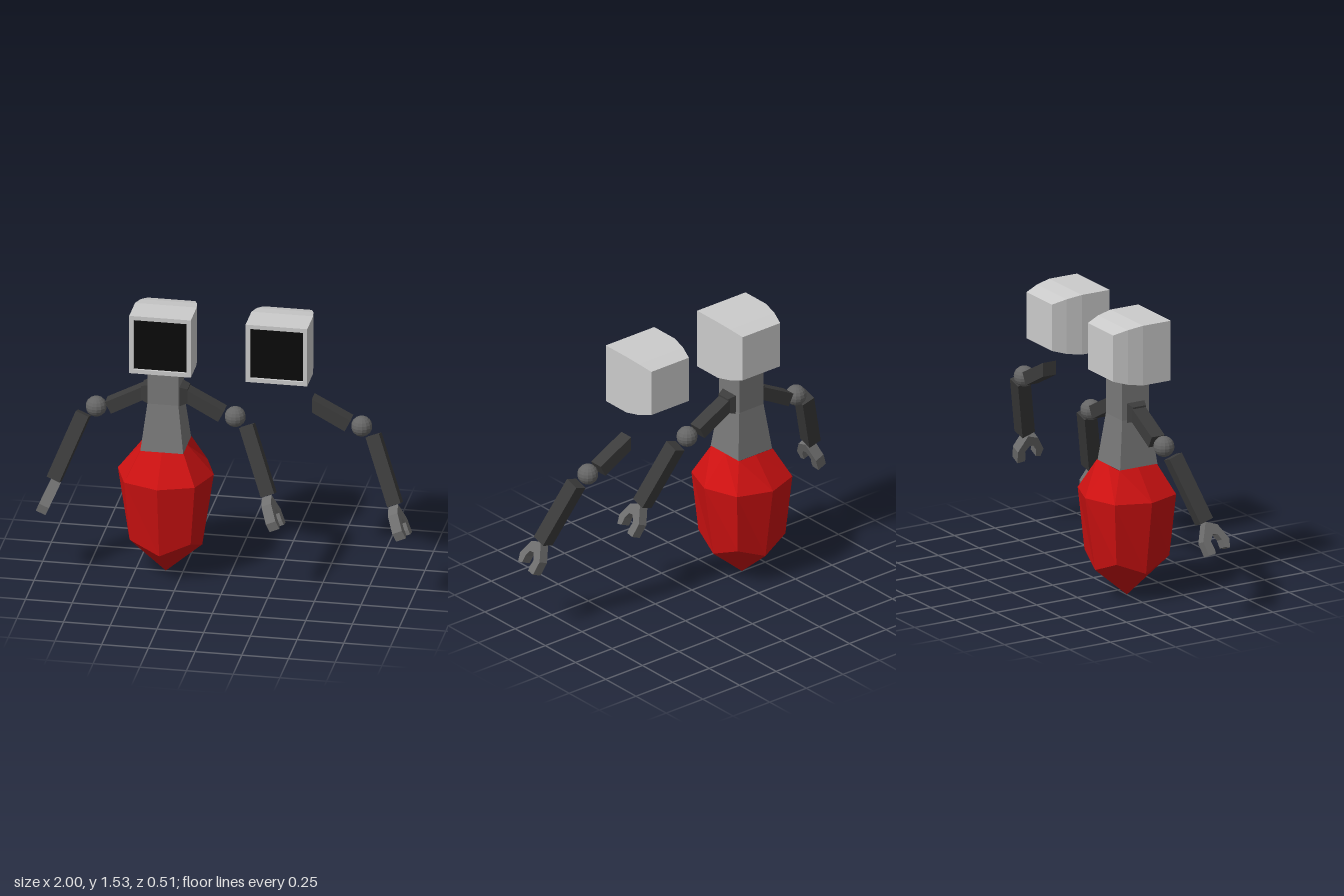
import * as THREE from 'three';

const grey = (color) => new THREE.MeshStandardMaterial({ color, flatShading: true });
const mats = {
  shell: grey(0xcccccc), neck: grey(0x787878), limb: grey(0x3c3c3c),
  joint: grey(0x666666), claw: grey(0x707070), red: grey(0xcc1111), screen: grey(0x0a0a0a),
};

function add(group, name, geometry, material) {
  const flat = geometry.index ? geometry.toNonIndexed() : geometry;
  flat.computeVertexNormals();
  const mesh = new THREE.Mesh(flat, material);
  mesh.name = name;
  group.add(mesh);
  return mesh;
}

// Square-section solid along y from [halfWidth, height] pairs
const squareLoft = (pairs) => new THREE.LatheGeometry(
  pairs.map(([h, y]) => new THREE.Vector2(h * Math.SQRT2, y)), 4, Math.PI / 4);

const shapeOf = (pts) => new THREE.Shape(pts.map(([x, y]) => new THREE.Vector2(x, y)));

// Eight-sided body: corner columns differ from the side columns
function bodyGeometry() {
  const side = [[0, 0.005], [0.195, 0.172], [0.257, 0.58], [0.115, 0.74]];
  const corner = [[0, 0.005], [0.23, 0.24], [0.267, 0.58], [0.163, 0.74]];
  const geo = new THREE.LatheGeometry(side.map(([r, y]) => new THREE.Vector2(r, y)), 8);
  const pos = geo.attributes.position;
  for (let i = 0; i < pos.count; i++) {
    const column = Math.floor(i / 4), a = column * Math.PI / 4;
    const [r, y] = (column % 2 ? corner : side)[i % 4];
    pos.setXYZ(i, r * Math.sin(a), y, r * Math.cos(a));
  }
  return geo;
}

// Monitor head: tapered back, thin frame, recessed screen
function createHead(x) {
  const head = new THREE.Group();
  head.name = 'head';
  const shell = squareLoft([[0, -0.162], [0.128, -0.162], [0.151, -0.085], [0.165, 0],
    [0.165, 0.17], [0.142, 0.17], [0.142, 0.15]]).rotateX(Math.PI / 2);
  add(head, 'headShell', shell, mats.shell);
  add(head, 'screen', new THREE.PlaneGeometry(0.284, 0.284).translate(0, 0, 0.157), mats.screen);
  head.position.set(x, 1.37, 0);
  return head;
}

// Arm in body coordinates; s = 1 for left, -1 for right
function createArm(s) {
  const arm = new THREE.Group();
  arm.name = s > 0 ? 'leftArm' : 'rightArm';

  const upper = shapeOf([[0.112, 1.075], [0.319, 0.967], [0.287, 0.903], [0.112, 0.998]]
    .map(([x, y]) => [s * x, y]));
  add(arm, 'upperArm', new THREE.ExtrudeGeometry(upper, { depth: 0.08, bevelEnabled: false })
    .translate(0, 0, -0.04), mats.limb);

  add(arm, 'elbow', new THREE.SphereGeometry(0.056, 14, 10).translate(s * 0.372, 0.925, 0.003), mats.joint);

  // Forearm box aligned between elbow and wrist
  const a = new THREE.Vector3(s * 0.438, 0.885, 0.018), b = new THREE.Vector3(s * 0.574, 0.544, 0.128);
  const yAxis = a.clone().sub(b).normalize();
  const xAxis = new THREE.Vector3(1, 0, 0).addScaledVector(yAxis, -yAxis.x).normalize();
  const zAxis = xAxis.clone().cross(yAxis);
  const forearm = new THREE.BoxGeometry(0.075, a.distanceTo(b), 0.08)
    .applyMatrix4(new THREE.Matrix4().makeBasis(xAxis, yAxis, zAxis));
  const mid = a.clone().add(b).multiplyScalar(0.5);
  add(arm, 'forearm', forearm.translate(mid.x, mid.y, mid.z), mats.limb);

  // Claw profile in (z, y), relative to the wrist
  const claw = shapeOf([[0.128, 0.536], [0.195, 0.514], [0.248, 0.437], [0.241, 0.392], [0.21, 0.398],
    [0.203, 0.437], [0.182, 0.468], [0.155, 0.47], [0.135, 0.437], [0.148, 0.4], [0.15, 0.376],
    [0.106, 0.37], [0.089, 0.441]].map(([z, y]) => [-(z - 0.13), (y - 0.53) / 0.92]));
  const hand = new THREE.ExtrudeGeometry(claw, { depth: 0.056, bevelEnabled: false })
    .translate(0, 0, -0.028).rotateY(Math.PI / 2).rotateZ(s * 0.41)
    .translate(s * 0.566, 0.53, 0.13);
  add(arm, 'claw', hand, mats.claw);
  return arm;
}

export function createModel() {
  const model = new THREE.Group();
  model.name = 'robot';

  const robot = new THREE.Group();
  robot.name = 'mainRobot';
  robot.position.x = -0.341;
  add(robot, 'body', bodyGeometry(), mats.red);
  add(robot, 'neck', squareLoft([[0, 0.738], [0.115, 0.738], [0.083, 1], [0.083, 1.22], [0, 1.22]])
    .translate(0, 0, 0.004), mats.neck);
  robot.add(createHead(0));
  for (const s of [1, -1]) {
    // Tapered shoulder socket on the side of the neck
    add(robot, 'shoulderSocket', squareLoft([[0.055, 0.07], [0.055, 0.08], [0.04, 0.124], [0, 0.124]])
      .rotateZ(-s * Math.PI / 2).translate(0, 1.038, 0.003), mats.limb);
    robot.add(createArm(s));
  }
  model.add(robot);

  // Spare parts beside the robot
  const spareHead = createHead(0.282);
  spareHead.name = 'spareHead';
  const spareArm = createArm(1);
  spareArm.name = 'spareArm';
  spareArm.position.x = 0.336;
  model.add(spareHead, spareArm);
  return model;
}
